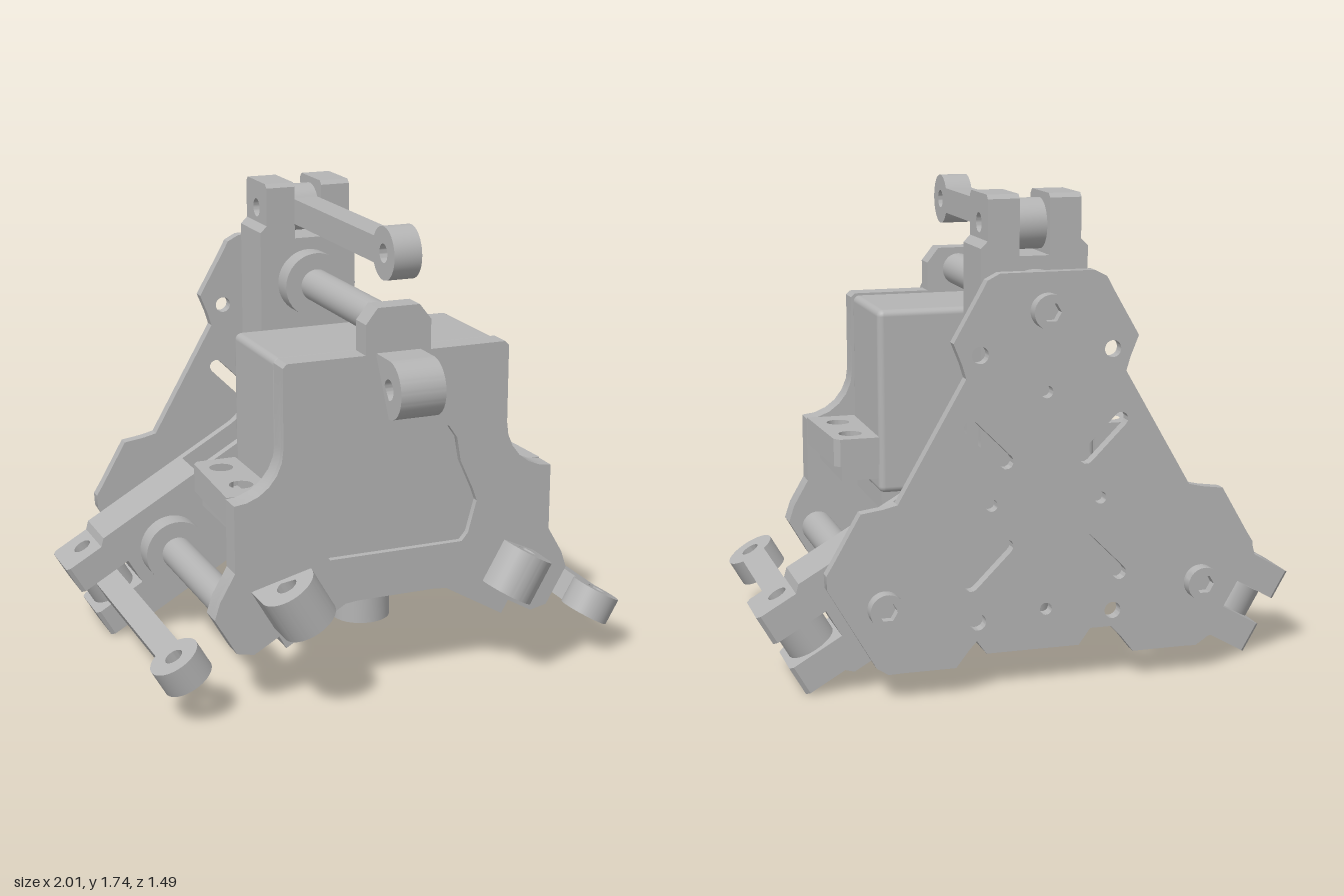
import * as THREE from 'three';
import { toCreasedNormals } from 'three/addons/utils/BufferGeometryUtils.js';
import { RoundedBoxGeometry } from 'three/addons/geometries/RoundedBoxGeometry.js';

const CY = 0.677;           // height of the three-fold axis
const ROD_R = 0.674;        // distance of the rods from that axis
const grey = new THREE.MeshStandardMaterial({ color: 0xb4b4b4 });
grey.name = 'machined grey';

const mesh = (name, geo) => {
  const m = new THREE.Mesh(geo, grey);
  m.name = name;
  return m;
};
const poly = (pts) => new THREE.Shape(pts.map(([x, y]) => new THREE.Vector2(x, y)));
const addHole = (shape, x, y, r) => {
  shape.holes.push(new THREE.Path().absarc(x, y, r, 0, Math.PI * 2, true));
  return shape;
};
const spin = ([x, y], a) => [x * Math.cos(a) - y * Math.sin(a), x * Math.sin(a) + y * Math.cos(a)];
const third = (i) => (i * Math.PI * 2) / 3;
const mirrorX = (pts) => [...pts, ...pts.slice().reverse().map(([x, y]) => [-x, y])];

// Extrusions along z, x and y; shapes are drawn in (x,y), (z,y) and (x,z)
const raw = (shape, depth) =>
  toCreasedNormals(new THREE.ExtrudeGeometry(shape, { depth, bevelEnabled: false, curveSegments: 20 }), 0.5);
const alongZ = (shape, z0, z1) => raw(shape, z1 - z0).translate(0, 0, z0);
const alongX = (shape, x0, x1) => raw(shape, x1 - x0).rotateY(-Math.PI / 2).translate(x1, 0, 0);
const alongY = (shape, y0, y1) => raw(shape, y1 - y0).rotateX(Math.PI / 2).translate(0, y1, 0);
const box = (x0, x1, y0, y1, z0, z1) =>
  new THREE.BoxGeometry(x1 - x0, y1 - y0, z1 - z0).translate((x0 + x1) / 2, (y0 + y1) / 2, (z0 + z1) / 2);
const diskZ = (r, y, z0, z1) =>
  new THREE.CylinderGeometry(r, r, z1 - z0, 40).rotateX(Math.PI / 2).translate(0, y, (z0 + z1) / 2);
const diskY = (r, x, z, y0, y1) =>
  new THREE.CylinderGeometry(r, r, y1 - y0, 40).translate(x, (y0 + y1) / 2, z);

// Bar with a round eye at both ends, lying along the first shape axis
function eyeBar(a, b, ra, rb, half, hole) {
  const s = new THREE.Shape();
  const ta = Math.asin(half / ra), tb = Math.asin(half / rb);
  s.absarc(b, 0, rb, -(Math.PI - tb), Math.PI - tb, false);
  s.absarc(a, 0, ra, ta, Math.PI * 2 - ta, false);
  addHole(s, a, 0, hole);
  return addHole(s, b, 0, hole);
}

// Everything that repeats on each of the three arms, built pointing up
function armUnit() {
  const g = new THREE.Group();
  const zb = -0.55, zf = -0.33;

  g.add(mesh('armEnd', box(-0.195, 0.195, 0.43, 0.845, zb, zf)));
  const cheek = addHole(poly([
    [zb, 0.845], [zf, 0.845], [zf, 1.045], [zf - 0.015, 1.06], [zb + 0.015, 1.06], [zb, 1.045],
  ]), -0.44, 0.955, 0.035);
  for (const s of [-1, 1]) {
    g.add(mesh('clevisCheek', alongX(cheek, s < 0 ? -0.17 : 0.055, s < 0 ? -0.055 : 0.17)));
    const shoulder = poly([[0.17, 0.845], [0.195, 0.845], [0.195, 0.875], [0.17, 0.9]].map(([x, y]) => [s * x, y]));
    g.add(mesh('clevisShoulder', alongZ(shoulder, zb, zf)));
  }

  // swinging link held in the clevis
  const link = mesh('link', alongX(eyeBar(-0.44, 0.505, 0.09, 0.095, 0.048, 0.034), -0.052, 0.052));
  link.position.y = 0.947;
  g.add(link);

  // guide rod with collars and a socket screw end
  g.add(mesh('guideRod', diskZ(0.062, ROD_R, -0.71, 0.45)));
  g.add(mesh('frontCollar', diskZ(0.125, ROD_R, zf, -0.245)));
  g.add(mesh('rearCollar', diskZ(0.125, ROD_R, -0.652, zb)));
  const head = new THREE.Shape().absarc(0, ROD_R, 0.062, 0, Math.PI * 2, false);
  head.holes.push(new THREE.Path(Array.from({ length: 6 }, (_, i) =>
    new THREE.Vector2(0.035 * Math.cos(-i * Math.PI / 3), ROD_R + 0.035 * Math.sin(-i * Math.PI / 3)))));
  g.add(mesh('screwHead', alongZ(head, -0.745, -0.71)));

  // lug on the front bracket
  const lug = new THREE.Shape();
  lug.moveTo(0.52, 0.388);
  lug.absarc(0.635, 0.493, 0.105, -Math.PI / 2, Math.PI / 2, false);
  lug.lineTo(0.52, 0.598);
  g.add(mesh('bracketLug', alongX(addHole(lug, 0.635, 0.493, 0.038), -0.085, 0.085)));
  return g;
}

// Y-shaped cheek plate of the hollow frame, with rounded inner corners
function frameShape() {
  const s = new THREE.Shape();
  for (let i = 0; i < 3; i++) {
    const p = (x, y) => spin([x, y], third(i));
    if (i === 0) s.moveTo(...p(0.195, 0.2));
    s.lineTo(...p(0.195, 0.43));
    s.lineTo(...p(-0.195, 0.43));
    s.lineTo(...p(-0.195, 0.2));
    s.quadraticCurveTo(...p(-0.195, 0.1126), ...spin([0.195, 0.2], third(i + 1)));
  }
  return s;
}

// Three-lobed rear plate with holes and slots
function rearPlateShape() {
  const lobe = mirrorX([[0.29, 0.45], [0.305, 0.5], [0.335, 0.574], [0.238, 0.742], [0.215, 0.785], [0.17, 0.808]]);
  const pts = [];
  for (let i = 0; i < 3; i++) pts.push(...lobe.map((p) => spin(p, third(i))));
  const s = poly(pts);
  for (const sx of [-1, 1]) {
    addHole(s, sx * 0.25, -0.417, 0.03);
    addHole(s, sx * 0.24, 0.53, 0.03);
    addHole(s, sx * 0.2, 0, 0.022);
    for (const sy of [-1, 1]) {
      const slot = [];
      for (let k = 0; k < 14; k++) {
        const a = -(Math.floor(k / 7) * Math.PI + (k % 7) * Math.PI / 6) + Math.PI / 2;
        const [x, y] = spin([Math.cos(a) * 0.026 + (k < 7 ? 0.09 : -0.09), Math.sin(a) * 0.026], sx * sy * Math.PI / 4);
        slot.push(new THREE.Vector2(x + sx * 0.21, y + sy * 0.215));
      }
      s.holes.push(new THREE.Path(slot));
    }
  }
  addHole(s, 0, 0.39, 0.022);
  return addHole(s, 0, -0.39, 0.022);
}

// Front bracket outline
function bracketShape() {
  const tabEdge = (r, t) => {   // point on the right lower tab
    const [x, y] = spin([t, r], -third(1));
    return [x, y + CY];
  };
  const arc = [1, 2, 3, 4, 5].map((k) => {
    const a = (k / 6) * Math.PI / 2;
    return [0.62 - 0.185 * Math.cos(a), 0.965 - 0.185 * Math.sin(a)];
  });
  return poly(mirrorX([
    [0.15, 0.36], [0.2, 0.355], [0.43, 0.22], tabEdge(0.6, 0.125), tabEdge(0.71, 0.125), tabEdge(0.76, 0.08),
    tabEdge(0.76, -0.08), tabEdge(0.71, -0.125), [0.62, 0.53], [0.62, 0.78],
    ...arc.reverse(), [0.435, 0.965], [0.435, 1.255], [0.42, 1.27], [0.125, 1.27], [0.125, 1.38], [0.08, 1.437],
  ]));
}

export function createModel() {
  const model = new THREE.Group();
  model.name = 'linkageMechanism';

  for (let i = 0; i < 3; i++) {
    const arm = armUnit();
    arm.name = ['topArm', 'rightArm', 'leftArm'][i];
    arm.position.y = CY;
    arm.rotation.z = third(i);
    model.add(arm);
  }

  // hollow frame and rear plate
  const centred = (name, geo) => model.add(mesh(name, geo.translate(0, CY, 0)));
  centred('frameRearCheek', alongZ(frameShape(), -0.55, -0.515));
  centred('frameFrontCheek', alongZ(frameShape(), -0.365, -0.33));
  centred('rearPlate', alongZ(rearPlateShape(), -0.697, -0.653));

  // lower clevis block with its pin
  const block = poly(mirrorX([[0.175, 0.09], [0.24, 0.18], [0.24, 0.33], [0.19, 0.46]]));
  block.holes.push(new THREE.Path([[-0.13, 0.16], [-0.13, 0.275], [0.13, 0.275], [0.13, 0.16]]
    .map(([x, y]) => new THREE.Vector2(x, y))));
  model.add(mesh('lowerClevis', alongZ(block, -0.55, -0.33)));
  model.add(mesh('lowerClevisPin', diskY(0.035, 0, -0.44, 0.085, 0.3)));

  // front bracket with a shallow recess
  const recess = mirrorX([[0.26, 0.53], [0.285, 0.56], [0.318, 0.68], [0.3, 0.73], [0.25, 0.84], [0.235, 0.93], [0.2, 0.98]]);
  const front = bracketShape();
  front.holes.push(new THREE.Path(recess.map(([x, y]) => new THREE.Vector2(x, y))));
  model.add(mesh('bracketBack', alongZ(bracketShape(), 0.437, 0.5)));
  model.add(mesh('bracketFace', alongZ(front, 0.5, 0.525)));

  // drilled side shelves that carry the motor
  for (const s of [-1, 1]) {
    const shelf = poly([[0.43, 0.005], [0.58, 0.005], [0.6, 0.03], [0.618, 0.44], [0.43, 0.44]].map(([x, z]) => [s * x, z]));
    for (const z of [0.105, 0.32]) addHole(shelf, s * 0.52, z, 0.044);
    model.add(mesh('motorShelf', alongY(shelf, 0.68, 0.785)));
    const ear = poly([[0.42, 0.03], [0.57, 0.03], [0.57, 0.43], [0.42, 0.43]].map(([x, z]) => [s * x, z]));
    for (const z of [0.105, 0.32]) addHole(ear, s * 0.52, z, 0.044);
    model.add(mesh('motorEar', alongY(ear, 0.62, 0.68)));
  }

  // motor housing
  const housing = new RoundedBoxGeometry(0.86, 0.7, 0.43, 3, 0.025);
  model.add(mesh('motorHousing', housing.translate(0, 0.915, 0.222)));
  model.add(mesh('motorLowerHousing', alongZ(poly([
    [-0.42, 0.68], [-0.42, 0.5], [-0.38, 0.46], [0.38, 0.46], [0.42, 0.5], [0.42, 0.68],
  ]), 0.02, 0.436)));

  // crank and push rod
  model.add(mesh('outputDisk', diskY(0.145, 0.2, 0.225, 0.41, 0.47)));
  const crank = mesh('crank', alongY(eyeBar(0, 0.2, 0.1, 0.12, 0.085, 0.03), 0.27, 0.41));
  crank.position.set(0.01, 0, 0.19);
  model.add(crank);
  const pushRod = mesh('pushRod', alongY(eyeBar(-0.19, 0.44, 0.11, 0.09, 0.065, 0.034), 0.165, 0.268));
  pushRod.rotation.y = Math.PI / 2;
  model.add(pushRod);
  model.add(mesh('crankPin', diskY(0.03, 0, 0.19, 0.19, 0.36)));

  return model;
}
